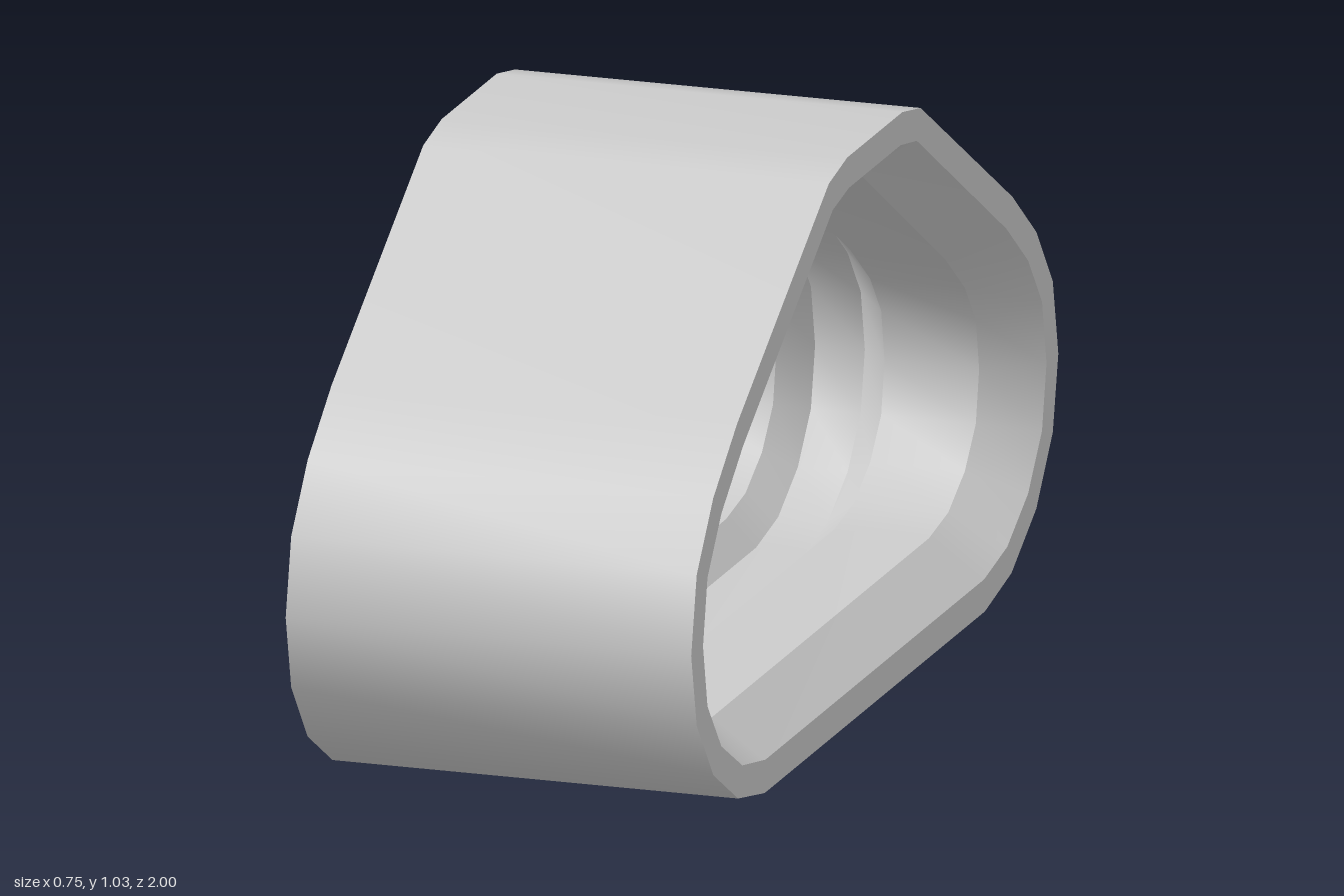
import * as THREE from 'three';

// Half outlines of the belt loop as [z, y], from top centre down to the bottom
const outer = [[0.15, 1.035], [0.25, 1.015], [0.75, 0.715], [0.88, 0.615], [0.97, 0.5],
  [1, 0.36], [0.97, 0.225], [0.88, 0.11], [0.745, 0.03], [0.6, 0]];
const inner = [[0.13, 0.912], [0.205, 0.9], [0.68, 0.61], [0.785, 0.53], [0.845, 0.455],
  [0.863, 0.36], [0.845, 0.265], [0.785, 0.195], [0.695, 0.145], [0.59, 0.127]];

// Mirror a half outline front to back into a closed loop
const closeLoop = (half) => [...half, ...half.map(([z, y]) => [-z, y]).reverse()];
const outerLoop = closeLoop(outer);
const innerLoop = closeLoop(inner);

// Band thickness across its width: [x, depth], depth 0 = outer face, 1 = full thickness
const W = 0.375;
const halfSection = [[W, 0], [W, 0.47], [0.275, 1], [0.1, 1], [0.046, 0.62]];
const section = [...halfSection, ...halfSection.map(([x, d]) => [-x, d]).reverse()];

// One smooth ring between two section points; edges between rings stay sharp
function ring([x0, d0], [x1, d1], material, name) {
  const positions = [];
  const indices = [];
  const n = outerLoop.length;
  outerLoop.forEach(([z, y], i) => {
    const [zi, yi] = innerLoop[i];
    for (const [x, d] of [[x0, d0], [x1, d1]]) {
      positions.push(x, y + (yi - y) * d, z + (zi - z) * d);
    }
    const a = 2 * i;
    const b = 2 * ((i + 1) % n);
    indices.push(a, b, b + 1, a, b + 1, a + 1);
  });
  const geometry = new THREE.BufferGeometry();
  geometry.setAttribute('position', new THREE.Float32BufferAttribute(positions, 3));
  geometry.setIndex(indices);
  geometry.computeVertexNormals();
  const mesh = new THREE.Mesh(geometry, material);
  mesh.name = name;
  return mesh;
}

export function createModel() {
  const group = new THREE.Group();
  group.name = 'trackBelt';
  const material = new THREE.MeshStandardMaterial({ color: 0xcccccc });

  // Rings in section order: around the left rim, across the inside, back to the outer face
  const names = ['leftRim', 'leftBevel', 'leftInnerBand', 'leftGrooveWall', 'grooveFloor',
    'rightGrooveWall', 'rightInnerBand', 'rightBevel', 'rightRim', 'outerBand'];
  names.forEach((name, i) => {
    group.add(ring(section[i], section[(i + 1) % section.length], material, name));
  });
  return group;
}
